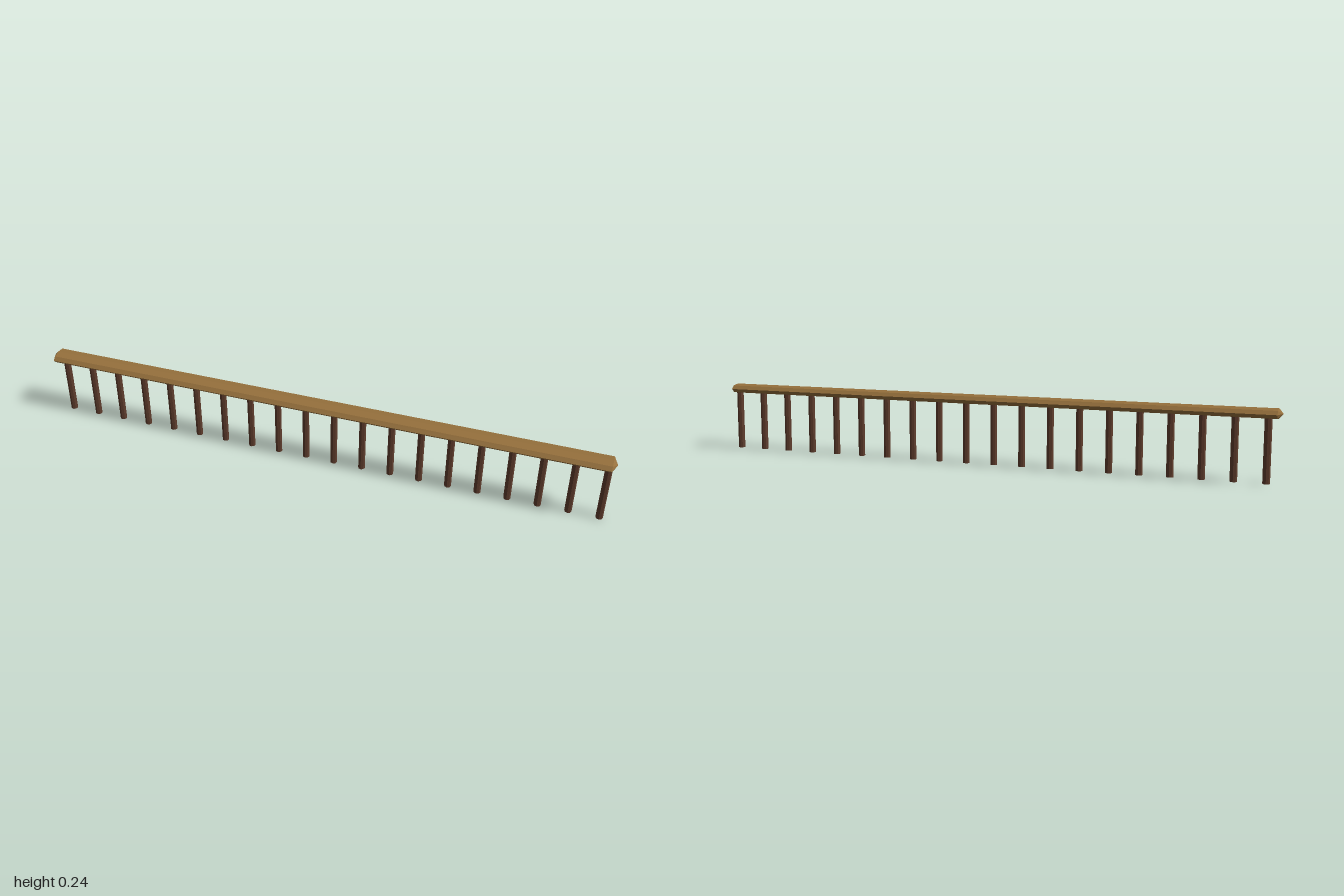
import * as THREE from 'three';

const POSTS = 20;
const FIRST_X = -0.955;
const SPACING = 0.1016;

export function createModel() {
  const model = new THREE.Group();
  model.name = 'railing';

  const railWood = new THREE.MeshStandardMaterial({ color: 0x96703c, flatShading: true });
  const postWood = new THREE.MeshStandardMaterial({ color: 0x5e3c2c, flatShading: true });

  // Handrail: flattened octagonal bar with shallow pointed ends
  const profile = [[0, -1], [1, -0.985], [1, 0.985], [0, 1]].map(([r, y]) => new THREE.Vector2(r, y));
  const railGeometry = new THREE.LatheGeometry(profile, 8);
  railGeometry.rotateZ(-Math.PI / 2);
  railGeometry.scale(1, 0.017, 0.039);
  const rail = new THREE.Mesh(railGeometry, railWood);
  rail.name = 'handrail';
  rail.position.y = 0.224;
  model.add(rail);

  // Evenly spaced posts, their tops sunk into the rail
  const postHeight = 0.22;
  const postGeometry = new THREE.CylinderGeometry(0.012, 0.012, postHeight, 8);
  const posts = new THREE.Group();
  posts.name = 'posts';
  for (let i = 0; i < POSTS; i++) {
    const post = new THREE.Mesh(postGeometry, postWood);
    post.name = `post${i + 1}`;
    post.position.set(FIRST_X + i * SPACING, postHeight / 2, 0);
    posts.add(post);
  }
  model.add(posts);

  return model;
}
